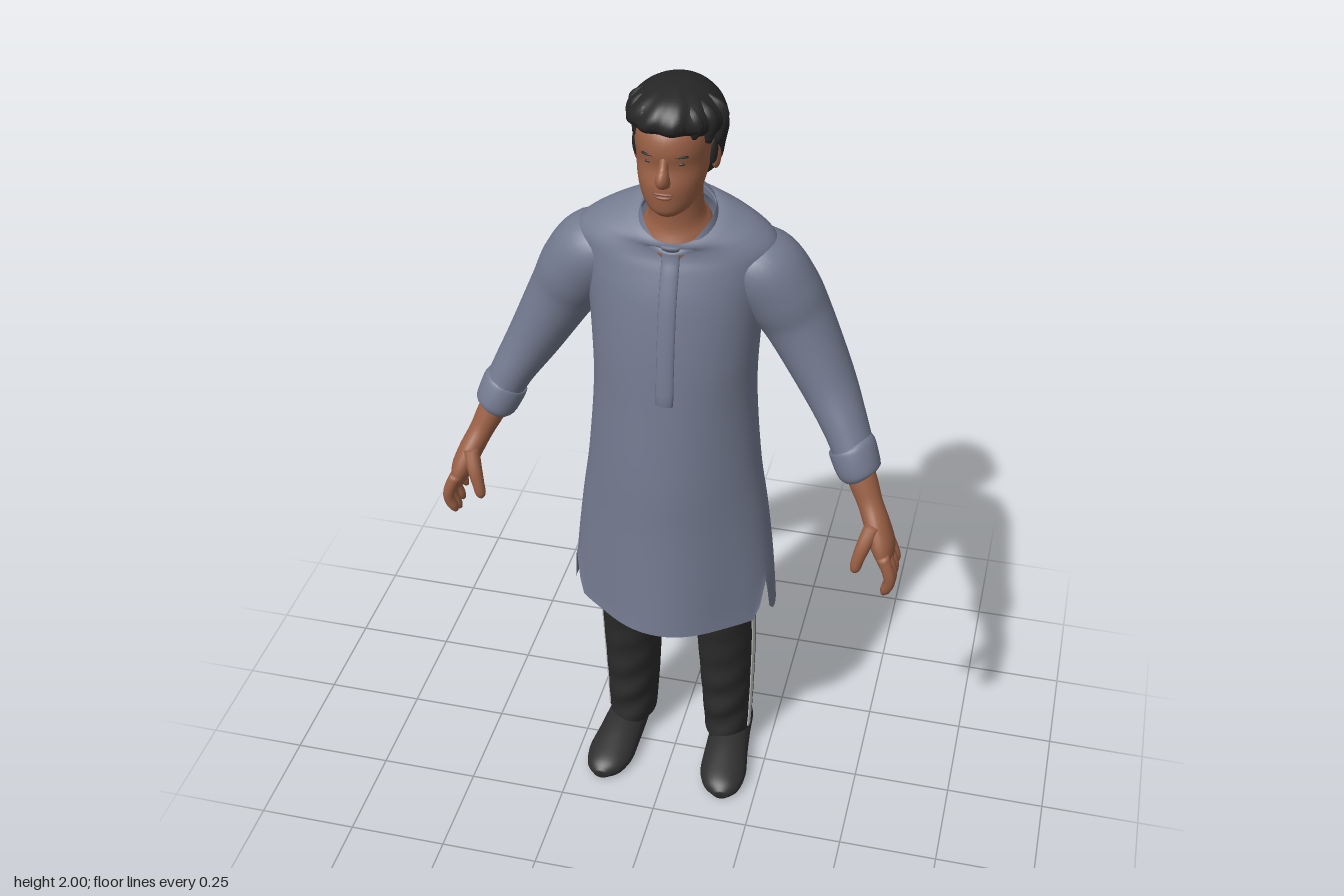
import * as THREE from 'three';

const mat = (name, color, side = THREE.FrontSide) => {
  const m = new THREE.MeshStandardMaterial({ color, side });
  m.name = name;
  return m;
};
const Y = new THREE.Vector3(0, 1, 0), Z = new THREE.Vector3(0, 0, 1);

// Spline through sections [x, y, z, radiusA, radiusB, tilt]
function smooth(secs, n) {
  const curves = [0, 1, 2, 3, 4, 5].map(k =>
    new THREE.SplineCurve(secs.map((s, i) => new THREE.Vector2(i, s[k] || 0))));
  return Array.from({ length: n + 1 }, (_, i) => curves.map(c => c.getPoint(i / n).y));
}

// Skin over elliptical rings, either level (flat) or square to their path
function loft(secs, { seg = 24, steps = 24, flat = false, cap = true, ref = Z, tweak } = {}) {
  const rows = smooth(secs, steps), pos = [], idx = [];
  const at = i => new THREE.Vector3(...rows[Math.min(Math.max(i, 0), steps)].slice(0, 3));
  rows.forEach((s, i) => {
    const t = flat ? Y.clone() : at(i + 1).sub(at(i - 1)).normalize();
    const w = ref.clone().addScaledVector(t, -t.dot(ref)).normalize();
    const u = t.clone().cross(w);
    for (let j = 0; j < seg; j++) {
      const a = j / seg * Math.PI * 2;
      const p = at(i).addScaledVector(u, Math.max(s[3], 0.001) * Math.cos(a))
        .addScaledVector(w, Math.max(s[4], 0.001) * Math.sin(a));
      p.y -= s[5] * s[4] * Math.sin(a);
      if (tweak) tweak(p, a, s);
      pos.push(p.x, p.y, p.z);
    }
  });
  for (let i = 0; i < steps; i++) for (let j = 0; j < seg; j++) {
    const k = (j + 1) % seg, a = i * seg + j, b = a + seg, c = i * seg + k, d = c + seg;
    idx.push(a, b, c, c, b, d);
  }
  if (cap) [0, steps].forEach(i => {
    const c = pos.length / 3, o = i * seg;
    pos.push(...at(i).toArray());
    for (let j = 0; j < seg; j++) {
      const k = (j + 1) % seg;
      if (i === 0) idx.push(c, o + j, o + k); else idx.push(c, o + k, o + j);
    }
  });
  const g = new THREE.BufferGeometry();
  g.setAttribute('position', new THREE.Float32BufferAttribute(pos, 3));
  g.setIndex(idx);
  g.computeVertexNormals();
  return g;
}

export function createModel() {
  const model = new THREE.Group();
  const cloth = mat('greyBlueCloth', 0x747b90, THREE.DoubleSide);
  const skin = mat('skin', 0x9a6045), lip = mat('lips', 0x85503d);
  const hairMat = mat('hair', 0x262626), dark = mat('trousers', 0x2b2b2b);
  const shoeMat = mat('shoes', 0x2f2f2f), white = mat('stripe', 0xc4c4c2);
  const add = (name, geo, material) => {
    const m = new THREE.Mesh(geo, material);
    m.name = name;
    model.add(m);
    return m;
  };
  const blob = (name, material, p, r) => {
    const m = add(name, new THREE.SphereGeometry(1, 20, 14), material);
    m.position.set(...p);
    m.scale.set(...r);
    return m;
  };

  // Long tunic: tapered front corners, two back folds and side slits
  const tunic = [
    [0, 0.56, 0.002, 0.262, 0.194, 0], [0, 0.7, 0, 0.251, 0.188, 0], [0, 0.85, 0, 0.234, 0.181, 0],
    [0, 1.0, 0.004, 0.213, 0.174, 0], [0, 1.2, 0, 0.197, 0.165, 0], [0, 1.35, -0.005, 0.2, 0.158, 0],
    [0, 1.48, -0.012, 0.212, 0.146, 0], [0, 1.56, -0.018, 0.228, 0.131, 0.03],
    [0, 1.605, -0.018, 0.232, 0.118, 0.12], [0.005, 1.643, -0.003, 0.186, 0.1, 0.3],
    [0.01, 1.667, 0.018, 0.122, 0.086, 0.5], [0.012, 1.674, 0.025, 0.086, 0.078, 0.5]];
  add('tunic', loft(tunic, {
    seg: 72, steps: 70, flat: true, cap: false,
    tweak: (p, a) => {
      const low = THREE.MathUtils.clamp((1.3 - p.y) / 0.7, 0, 1);
      const back = Math.max(0, -Math.sin(a));
      const f = 1 - low * (back > 0
        ? 0.045 * back * (1 + Math.cos(7 * (a - 1.5 * Math.PI)))
        : 0.11 * Math.sin(2 * a) ** 2);
      p.x *= f;
      p.z *= f;
      const off = Math.abs(Math.asin(Math.sin(a)) - 0.27);
      p.y = Math.max(p.y, 0.56 + 0.13 * Math.max(0, 1 - off / 0.11));
    },
  }), cloth);
  add('collar', loft([[0.012, 1.65, 0.025, 0.093, 0.083, 0.5], [0.013, 1.672, 0.026, 0.09, 0.081, 0.5],
    [0.014, 1.692, 0.025, 0.084, 0.077, 0.45]], {
    seg: 48, steps: 6, flat: true, cap: false,
    // Open throat
    tweak: (p, a, s) => { p.y -= 0.9 * (s[1] - 1.65) * Math.max(0, Math.sin(a)) ** 3; },
  }), cloth);
  const front = smooth(tunic, 70).map(s => [0.013, s[1] - s[5] * s[4], s[2] + s[4] + 0.001, 0.021, 0.008])
    .filter(s => s[1] > 1.22 && s[1] < 1.63);
  add('placket', loft(front, { seg: 16, steps: 30, flat: true }), cloth);

  // Neck and head
  add('neck', loft([[0.01, 1.6, 0.02, 0.084, 0.074, 0.4], [0.01, 1.645, 0.025, 0.081, 0.077, 0.45],
    [0.01, 1.68, 0.026, 0.064, 0.06, 0.3], [0.01, 1.73, 0.032, 0.06, 0.06, 0], [0.01, 1.79, 0.04, 0.062, 0.062, 0]],
  { flat: true }), skin);
  add('head', loft([
    [0.01, 1.722, 0.105, 0.028, 0.034], [0.01, 1.737, 0.09, 0.05, 0.062], [0.01, 1.765, 0.08, 0.066, 0.077],
    [0.01, 1.8, 0.065, 0.076, 0.094], [0.01, 1.84, 0.05, 0.082, 0.1], [0.01, 1.88, 0.049, 0.085, 0.106],
    [0.01, 1.92, 0.043, 0.08, 0.1], [0.01, 1.96, 0.03, 0.055, 0.07]], { seg: 36, steps: 30, flat: true }), skin);
  add('nose', loft([[0.01, 1.87, 0.143, 0.01, 0.01], [0.01, 1.842, 0.152, 0.011, 0.015],
    [0.01, 1.824, 0.161, 0.016, 0.022], [0.01, 1.808, 0.152, 0.016, 0.013]], { seg: 16, steps: 12 }), skin);
  blob('upperLip', lip, [0.01, 1.786, 0.155], [0.024, 0.004, 0.008]);
  blob('lowerLip', lip, [0.01, 1.777, 0.154], [0.02, 0.005, 0.009]);
  blob('chin', skin, [0.01, 1.744, 0.133], [0.026, 0.017, 0.02]);
  for (const s of [-1, 1]) {
    blob('eye', hairMat, [0.01 + s * 0.034, 1.853, 0.139], [0.01, 0.003, 0.004]);
    blob('eyebrow', hairMat, [0.01 + s * 0.036, 1.871, 0.142], [0.018, 0.003, 0.005]).rotation.y = s * 0.35;
    blob('ear', skin, [0.01 + s * 0.087, 1.822, 0.024], [0.011, 0.028, 0.018]);
    blob('sideburn', hairMat, [0.01 + s * 0.084, 1.85, 0.046], [0.012, 0.035, 0.014]);
  }

  // Wavy hair, smooth at the back
  add('hair', loft([
    [0.01, 1.742, -0.042, 0.05, 0.024], [0.01, 1.765, -0.038, 0.073, 0.04], [0.01, 1.795, -0.034, 0.089, 0.05],
    [0.01, 1.835, -0.032, 0.096, 0.058], [0.01, 1.875, -0.012, 0.106, 0.08], [0.01, 1.91, 0.02, 0.11, 0.113],
    [0.01, 1.93, 0.033, 0.109, 0.123], [0.01, 1.955, 0.037, 0.098, 0.116], [0.01, 1.98, 0.038, 0.073, 0.09],
    [0.01, 1.995, 0.034, 0.04, 0.05], [0.01, 2, 0.033, 0.01, 0.012]], {
    seg: 64, steps: 40, flat: true,
    tweak: (p, a, s) => {
      const f = 0.025 * Math.sin(11 * a + s[1] * 45) * Math.max(0, Math.sin(a) + 0.25);
      p.x += s[3] * f * Math.cos(a);
      p.z += s[4] * f * Math.sin(a);
    },
  }), hairMat);
  // Swept locks along the hairline, longer at the temples
  for (let i = 0; i < 8; i++) {
    const a = Math.PI * (0.06 + 0.125 * i), c = Math.cos(a), d = Math.sin(a);
    const end = 1.924 - 0.055 * c * c, r = 0.011 + 0.004 * (i % 2);
    add('hairLock', loft([[0.01 + 0.045 * c, 1.978, 0.03 + 0.06 * d, 0.012, 0.01],
      [0.01 + 0.08 * c, 1.957, 0.03 + 0.1 * d, 0.02, r],
      [0.02 + 0.093 * c, 1.937, 0.028 + 0.112 * d, 0.019, r],
      [0.014 + 0.093 * c, end, 0.026 + 0.108 * d, 0.008, 0.007]], { seg: 12, steps: 12 }), hairMat);
  }

  for (const s of [-1, 1]) {
    const side = s > 0 ? 'left' : 'right';
    // The right arm hangs further back
    const k = s > 0 ? 0 : 1;
    const place = (list, dz) => list.map(([x, y, z, ...r], i) =>
      [s * x, y, z - k * (Array.isArray(dz) ? dz[i] : dz), ...r]);

    // Sleeve and rolled cuff
    add(side + 'Sleeve', loft(place([
      [0.12, 1.562, -0.025, 0.05, 0.085], [0.19, 1.532, -0.03, 0.091, 0.1], [0.24, 1.468, -0.036, 0.093, 0.097],
      [0.284, 1.39, -0.042, 0.083, 0.088], [0.36, 1.25, -0.022, 0.067, 0.077], [0.415, 1.155, 0.018, 0.054, 0.062],
      [0.45, 1.085, 0.048, 0.048, 0.054]], [0, 0, 0.003, 0.01, 0.033, 0.055, 0.07]),
    { seg: 32, steps: 36 }), cloth);
    add(side + 'Cuff', loft(place([
      [0.431, 1.122, 0.036, 0.046, 0.052], [0.436, 1.114, 0.038, 0.056, 0.061], [0.448, 1.086, 0.047, 0.056, 0.061],
      [0.461, 1.056, 0.054, 0.052, 0.057], [0.464, 1.05, 0.055, 0.042, 0.047]], 0.07), { seg: 32, steps: 12 }), cloth);

    // Forearm, palm, fingers and thumb
    add(side + 'Hand', loft(place([
      [0.445, 1.09, 0.048, 0.037, 0.04], [0.474, 1.03, 0.066, 0.034, 0.037], [0.495, 0.985, 0.082, 0.03, 0.034],
      [0.519, 0.935, 0.102, 0.03, 0.044], [0.537, 0.89, 0.115, 0.028, 0.052], [0.548, 0.85, 0.122, 0.016, 0.046]], 0.07),
    { seg: 24, steps: 24 }), skin);
    [0.012, 0, 0.008, 0.03].forEach((lift, i) => {
      const z = 0.162 - i * 0.029;
      add(side + 'Finger', loft(place([
        [0.542, 0.89, z, 0.015, 0.015], [0.559, 0.85, z + 0.004, 0.015, 0.015],
        [0.563, 0.815 + lift / 2, z + 0.003, 0.014, 0.0135], [0.555, 0.782 + lift, z - 0.001, 0.013, 0.012],
        [0.549, 0.766 + lift, z - 0.004, 0.006, 0.006]], 0.07), { seg: 12, steps: 14 }), skin);
    });
    add(side + 'Thumb', loft(place([
      [0.51, 0.95, 0.125, 0.02, 0.022], [0.495, 0.91, 0.149, 0.018, 0.019], [0.484, 0.872, 0.16, 0.015, 0.015],
      [0.479, 0.846, 0.162, 0.013, 0.013], [0.478, 0.835, 0.162, 0.006, 0.006]], 0.07), { seg: 12, steps: 14 }), skin);

    // Trouser leg with soft creases and a side stripe
    const leg = [[0.133, 0.065, -0.066, 0.062, 0.084], [0.132, 0.12, -0.067, 0.065, 0.087],
      [0.13, 0.22, -0.064, 0.07, 0.09], [0.127, 0.4, -0.05, 0.077, 0.095],
      [0.122, 0.56, -0.027, 0.082, 0.098], [0.112, 0.85, -0.01, 0.1, 0.11]];
    add(side + 'TrouserLeg', loft(place(leg, 0), {
      seg: 32, steps: 50, flat: true,
      tweak: (p, a) => {
        const low = THREE.MathUtils.clamp((0.5 - p.y) / 0.3, 0, 1) * Math.max(0, Math.sin(a));
        p.z += 0.005 * low * Math.sin(p.y * 62 + 2 * a);
      },
    }), dark);
    add(side + 'Stripe', loft(leg.map(([x, y, z, r]) => [s * (x + r - 0.002), y + 0.01, z + 0.015, 0.0045, 0.015]),
      { seg: 12, steps: 30, flat: true }), white);

    // Flat-soled shoe
    add(side + 'Shoe', loft(place([
      [0.142, 0.034, -0.148, 0.03, 0.034], [0.142, 0.036, -0.132, 0.048, 0.044], [0.144, 0.036, -0.05, 0.054, 0.052],
      [0.149, 0.031, 0.03, 0.058, 0.049], [0.156, 0.024, 0.1, 0.061, 0.039], [0.163, 0.018, 0.15, 0.046, 0.029],
      [0.165, 0.014, 0.176, 0.018, 0.013]], 0), {
      seg: 28, steps: 28, ref: Y, tweak: p => { p.y = Math.max(p.y, 0); },
    }), shoeMat);
  }
  return model;
}
